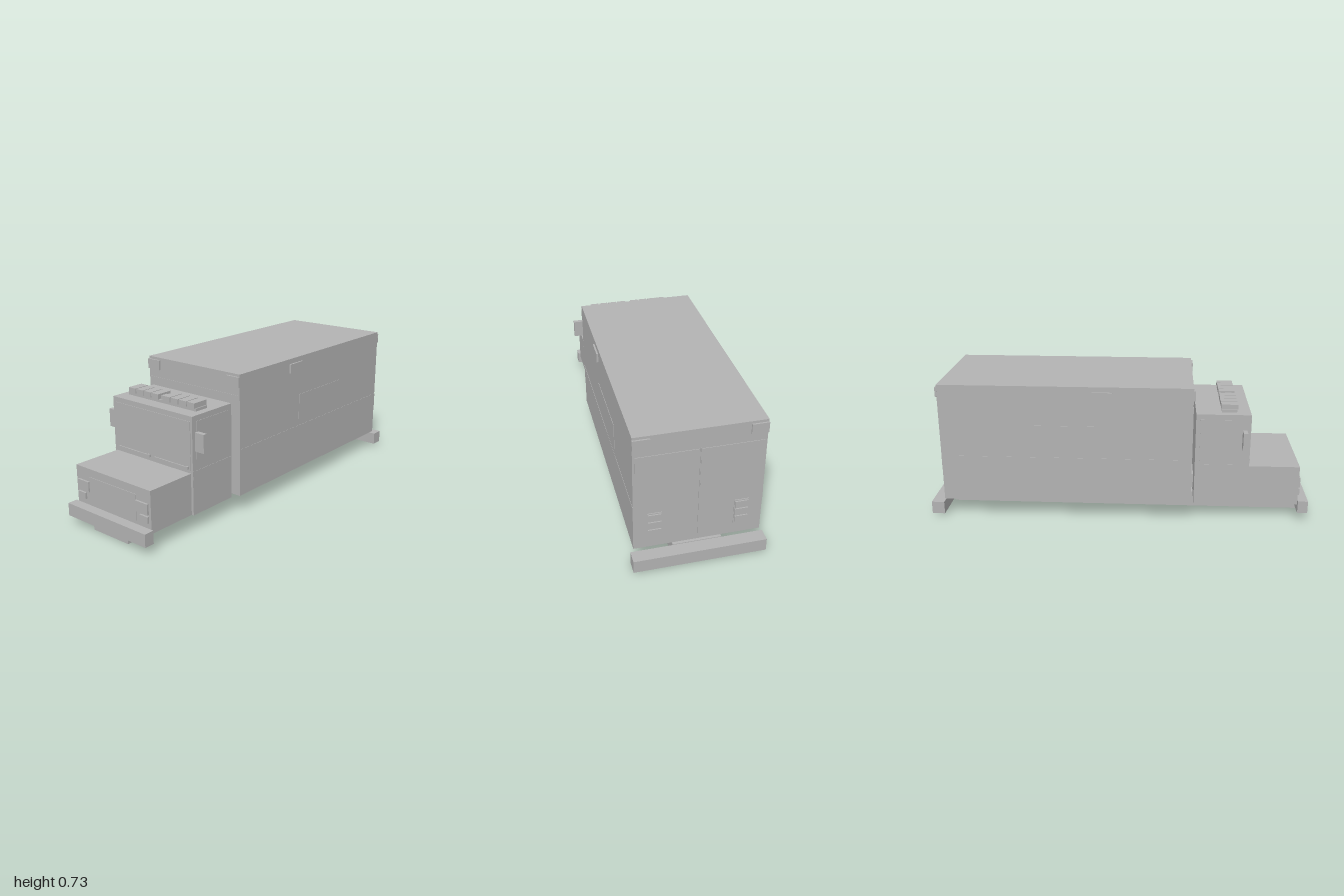
import * as THREE from 'three';

export function createModel() {
  const model = new THREE.Group();
  model.name = 'boxBodyTruck';
  const grey = new THREE.MeshStandardMaterial({ color: 0xb3b3b3 });
  grey.name = 'plain grey';

  // Box given by its limits on each axis
  function block(name, x0, x1, y0, y1, z0, z1) {
    const mesh = new THREE.Mesh(new THREE.BoxGeometry(x1 - x0, y1 - y0, z1 - z0), grey);
    mesh.position.set((x0 + x1) / 2, (y0 + y1) / 2, (z0 + z1) / 2);
    mesh.name = name;
    model.add(mesh);
  }
  // The same box on both sides of the centre line
  function pair(name, x0, x1, ...rest) {
    block(name + 'Left', x0, x1, ...rest);
    block(name + 'Right', -x1, -x0, ...rest);
  }

  // Chassis, bumpers and main bodies
  block('chassis', -0.12, 0.12, 0, 0.083, -0.93, 0.97);
  block('frontBumper', -0.27, 0.27, 0.042, 0.108, 0.947, 1);
  block('rearBumper', -0.325, 0.325, 0.015, 0.082, -1, -0.933);
  block('hood', -0.257, 0.257, 0.085, 0.298, 0.67, 0.945);
  block('cab', -0.27, 0.27, 0.085, 0.583, 0.397, 0.678);
  block('cargoBody', -0.31, 0.31, 0.097, 0.73, -0.93, 0.38);
  block('bodyConnector', -0.12, 0.12, 0.11, 0.19, 0.375, 0.4);

  // Nose: grille, headlights and indicators
  block('grille', -0.163, 0.163, 0.125, 0.257, 0.943, 0.948);
  pair('headlight', 0.163, 0.243, 0.178, 0.231, 0.943, 0.955);
  pair('frontIndicator', 0.19, 0.243, 0.135, 0.168, 0.943, 0.955);

  // Cab glass, wipers and mirrors
  block('windshield', -0.258, 0.258, 0.313, 0.557, 0.677, 0.681);
  for (const x of [-0.235, 0.021]) {
    block('wiperArm', x, x + 0.21, 0.322, 0.329, 0.678, 0.687);
    block('wiperPivot', x + 0.21, x + 0.226, 0.319, 0.333, 0.678, 0.69);
  }
  pair('sideWindow', 0.268, 0.272, 0.32, 0.555, 0.42, 0.65);
  pair('mirror', 0.27, 0.325, 0.408, 0.502, 0.637, 0.66);

  // Roof light bar
  block('lightBarBase', -0.23, 0.23, 0.583, 0.597, 0.53, 0.607);
  for (let i = 0; i < 4; i++) {
    const x = 0.016 + i * 0.0535;
    pair('lightBarLamp', x, x + 0.0475, 0.597, 0.623, 0.526, 0.612);
  }
  block('lightBarCentre', -0.007, 0.007, 0.597, 0.617, 0.56, 0.6);

  // Cargo body ends: panels, door seam and corner lamps
  block('frontPanel', -0.3, 0.3, 0.325, 0.623, 0.379, 0.382);
  pair('rearDoorPanel', 0.003, 0.298, 0.42, 0.623, -0.933, -0.929);
  block('rearDoorSeam', -0.002, 0.002, 0.1, 0.63, -0.934, -0.929);
  pair('frontCornerLamp', 0.23, 0.311, 0.665, 0.717, 0.378, 0.39);
  pair('rearCornerLamp', 0.23, 0.311, 0.665, 0.717, -0.938, -0.928);

  // Stacked tail lamps
  pair('tailLampPlate', 0.173, 0.245, 0.16, 0.297, -0.934, -0.929);
  for (let i = 0; i < 3; i++) {
    const y = 0.165 + i * 0.044;
    pair('tailLamp', 0.177, 0.241, y, y + 0.038, -0.94, -0.93);
  }

  // Side lamps, windows and stripes
  pair('sideLamp', 0.308, 0.319, 0.655, 0.703, -0.135, -0.027);
  pair('bodyWindow', 0.309, 0.312, 0.38, 0.52, -0.52, -0.12);
  pair('bodyStripe', 0.309, 0.3115, 0.267, 0.345, -0.93, 0.38);
  pair('cabStripe', 0.269, 0.2715, 0.267, 0.31, 0.397, 0.678);

  return model;
}
